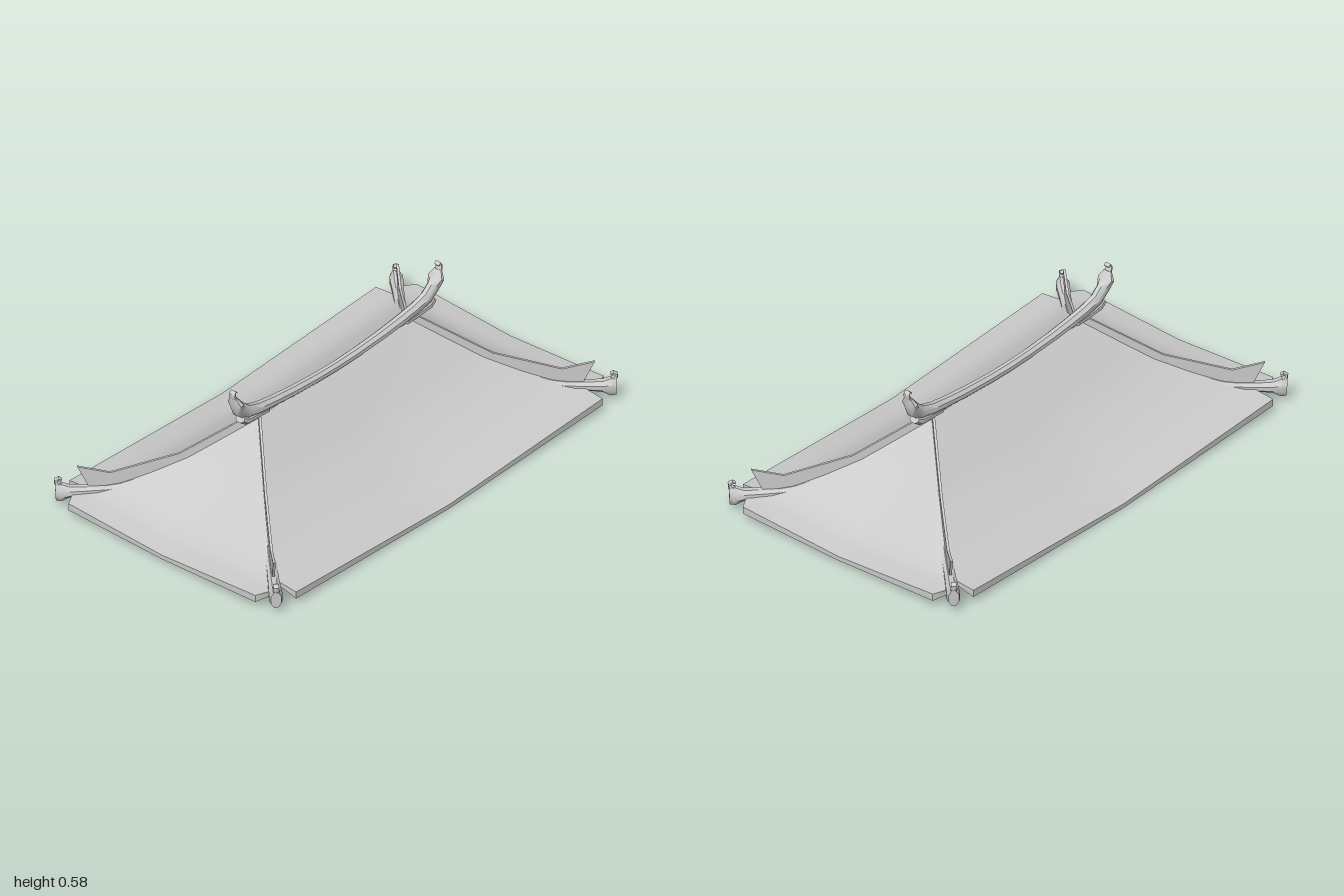
import * as THREE from 'three';
import { toCreasedNormals } from 'three/addons/utils/BufferGeometryUtils.js';

const grey = new THREE.MeshStandardMaterial({ color: 0xcccccc, side: THREE.DoubleSide });
const RIDGE = 0.44, RUN = 0.96;            // half ridge length, x gained per unit of z along a hip
const HIP = Math.hypot(RUN, 1);            // hip length in plan per unit of z

function add(parent, name, geometry) {
  const mesh = new THREE.Mesh(geometry, grey);
  mesh.name = name;
  parent.add(mesh);
  return mesh;
}

function build(points, index) {
  const g = new THREE.BufferGeometry();
  g.setAttribute('position', new THREE.Float32BufferAttribute(points.flat(), 3));
  g.setIndex(index);
  g.computeVertexNormals();
  return g;
}

// Surface over rows and columns of a point function
function patch(rows, cols, fn) {
  const pts = [], idx = [], n = cols.length;
  for (const r of rows) for (const c of cols) pts.push(fn(r, c));
  for (let i = 0; i < rows.length - 1; i++) for (let j = 0; j < n - 1; j++) {
    const a = i * n + j;
    idx.push(a, a + n, a + 1, a + 1, a + n, a + n + 1);
  }
  return build(pts, idx);
}

// Closed bar along stations [x, y, half width, half height]
function loft(stations, sides = 8, crease = 0.7) {
  const pts = [], idx = [], last = stations.length - 1;
  stations.forEach(([x, y, hw, hh], i) => {
    const a = stations[Math.max(0, i - 1)], b = stations[Math.min(last, i + 1)];
    const len = Math.hypot(b[0] - a[0], b[1] - a[1]);
    const tx = (b[0] - a[0]) / len, ty = (b[1] - a[1]) / len;
    for (let k = 0; k < sides; k++) {
      const t = ((k + 0.5) / sides) * Math.PI * 2, up = Math.sin(t) * hh;
      pts.push([x - ty * up, y + tx * up, Math.cos(t) * hw]);
    }
  });
  for (let i = 0; i < last; i++) for (let k = 0; k < sides; k++) {
    const a = i * sides + k, b = i * sides + (k + 1) % sides;
    idx.push(a, a + sides, b, b, a + sides, b + sides);
  }
  for (let k = 1; k < sides - 1; k++) {
    const e = last * sides;
    idx.push(0, k, k + 1, e, e + k + 1, e + k);
  }
  return toCreasedNormals(build(pts, idx), crease);
}

// Concave roof profile: height against distance from the ridge
const PROFILE = [[0, 0.39], [0.1, 0.3], [0.2, 0.212], [0.3, 0.148], [0.4, 0.094], [0.46, 0.072], [0.59, 0.06]];
function profile(d) {
  let i = 0;
  while (i < PROFILE.length - 2 && d > PROFILE[i + 1][0]) i++;
  const [a, b] = [PROFILE[i], PROFILE[i + 1]];
  return a[1] + (b[1] - a[1]) * (d - a[0]) / (b[0] - a[0]);
}

// One slope: top, underside that thickens toward the eave, and the eave band
function slope(name, { rows, half, sag, place }) {
  const group = new THREE.Group();
  group.name = name;
  const cols = Array.from({ length: 13 }, (_, i) => i / 6 - 1);
  const eave = rows[rows.length - 1];
  const point = (d, v, under) => {
    const dip = sag * (d / eave) * (1 - Math.abs(v));
    const thick = under * (0.004 + (0.014 + 0.012 * Math.abs(v)) * (d / eave) ** 4);
    return place(d, v * half(d), profile(d) - dip - thick);
  };
  add(group, 'slopeTop', patch(rows, cols, (d, v) => point(d, v, 0)));
  add(group, 'slopeUnderside', patch(rows, cols, (d, v) => point(d, v, 1)));
  add(group, 'eaveBand', patch([0, 1], cols, (u, v) => point(eave, v, u)));
  for (const s of [-1, 1]) add(group, 'hipEdge', patch(rows, [0, 1], (d, u) => point(d, s, u)));
  return group;
}

// Hip: beam beneath, thin upright fin above, flared finial at the corner
function hip() {
  const group = new THREE.Group();
  group.name = 'hip';
  const along = (list) => list.map(([z, ...rest]) => [z * HIP, ...rest]);
  add(group, 'hipBeam', loft(along([
    [0, 0.36, 0.02, 0.02], [0.1, 0.268, 0.021, 0.021], [0.2, 0.183, 0.022, 0.022],
    [0.3, 0.12, 0.023, 0.022], [0.38, 0.083, 0.023, 0.021], [0.44, 0.07, 0.022, 0.02],
  ])));
  add(group, 'cornerFinial', loft(along([
    [0.41, 0.076, 0.022, 0.018], [0.48, 0.071, 0.024, 0.021], [0.522, 0.069, 0.027, 0.026],
    [0.545, 0.067, 0.028, 0.042], [0.56, 0.066, 0.022, 0.038],
  ])));
  add(group, 'finialHook', loft(along([
    [0.545, 0.09, 0.014, 0.013], [0.557, 0.108, 0.014, 0.01], [0.559, 0.12, 0.013, 0.008],
    [0.551, 0.127, 0.012, 0.006], [0.543, 0.122, 0.01, 0.004],
  ]), 6));
  const outline = along([
    [0, 0.37], [0, 0.415], [0.02, 0.402], [0.22, 0.23], [0.41, 0.15], [0.5, 0.18],
    [0.468, 0.088], [0.44, 0.065], [0.4, 0.08], [0.3, 0.13], [0.2, 0.195], [0.1, 0.28],
  ]);
  const fin = new THREE.ExtrudeGeometry(
    new THREE.Shape(outline.map(([x, y]) => new THREE.Vector2(x, y))),
    { depth: 0.01, bevelEnabled: false });
  add(group, 'hipFin', fin.translate(0, 0, -0.005));
  return group;
}

export function createModel() {
  const model = new THREE.Group();
  model.name = 'hippedRoof';

  // Long slopes front and back, short slopes left and right
  const long = {
    rows: [0, 0.05, 0.1, 0.15, 0.2, 0.25, 0.3, 0.35, 0.4, 0.458, 0.515, 0.575],
    half: (d) => Math.min(RIDGE + RUN * d, 0.88), sag: 0.042,
    place: (d, s, y) => [s, y, d],
  };
  const short = {
    rows: [0, 0.05, 0.1, 0.15, 0.2, 0.25, 0.3, 0.35, 0.4, 0.46, 0.51, 0.583],
    half: (d) => (d < 0.51 ? d : 0.51 - (d - 0.51) * 0.5), sag: 0.026,
    place: (d, s, y) => [RIDGE + RUN * d, y, -s],
  };
  [['frontSlope', long, 0], ['backSlope', long, Math.PI],
    ['leftSlope', short, 0], ['rightSlope', short, Math.PI]].forEach(([name, spec, turn]) => {
    const part = slope(name, spec);
    part.rotation.y = turn;
    model.add(part);
  });

  // Four hips
  for (const sx of [-1, 1]) for (const sz of [-1, 1]) {
    const part = hip();
    part.position.x = sx * RIDGE;
    part.rotation.y = -Math.atan2(sz, sx * RUN);
    model.add(part);
  }

  // Sagging ridge with upturned ends
  const halfRidge = [
    [0.12, 0.403, 0.021, 0.021], [0.25, 0.411, 0.022, 0.022], [0.36, 0.422, 0.023, 0.023],
    [0.45, 0.434, 0.024, 0.025], [0.515, 0.449, 0.024, 0.03], [0.558, 0.483, 0.024, 0.031],
    [0.576, 0.518, 0.037, 0.02], [0.587, 0.548, 0.018, 0.009],
  ];
  const mirrored = halfRidge.map(([x, ...r]) => [-x, ...r]).reverse();
  add(model, 'ridge', loft([...mirrored, [0, 0.4, 0.021, 0.021], ...halfRidge]));

  // Ridge end hooks and the brackets under them
  for (const turn of [0, Math.PI]) {
    const end = new THREE.Group();
    end.name = 'ridgeEnd';
    end.rotation.y = turn;
    add(end, 'ridgeHook', loft([
      [0.582, 0.535, 0.018, 0.01], [0.592, 0.553, 0.017, 0.007], [0.594, 0.568, 0.016, 0.006],
      [0.588, 0.578, 0.015, 0.005], [0.578, 0.57, 0.013, 0.003],
    ], 6));
    add(end, 'ridgeBracket', loft([
      [0.4, 0.405, 0.02, 0.015], [0.47, 0.414, 0.024, 0.018],
      [0.525, 0.42, 0.025, 0.022], [0.55, 0.435, 0.022, 0.018],
    ]));
    model.add(end);
  }
  return model;
}
